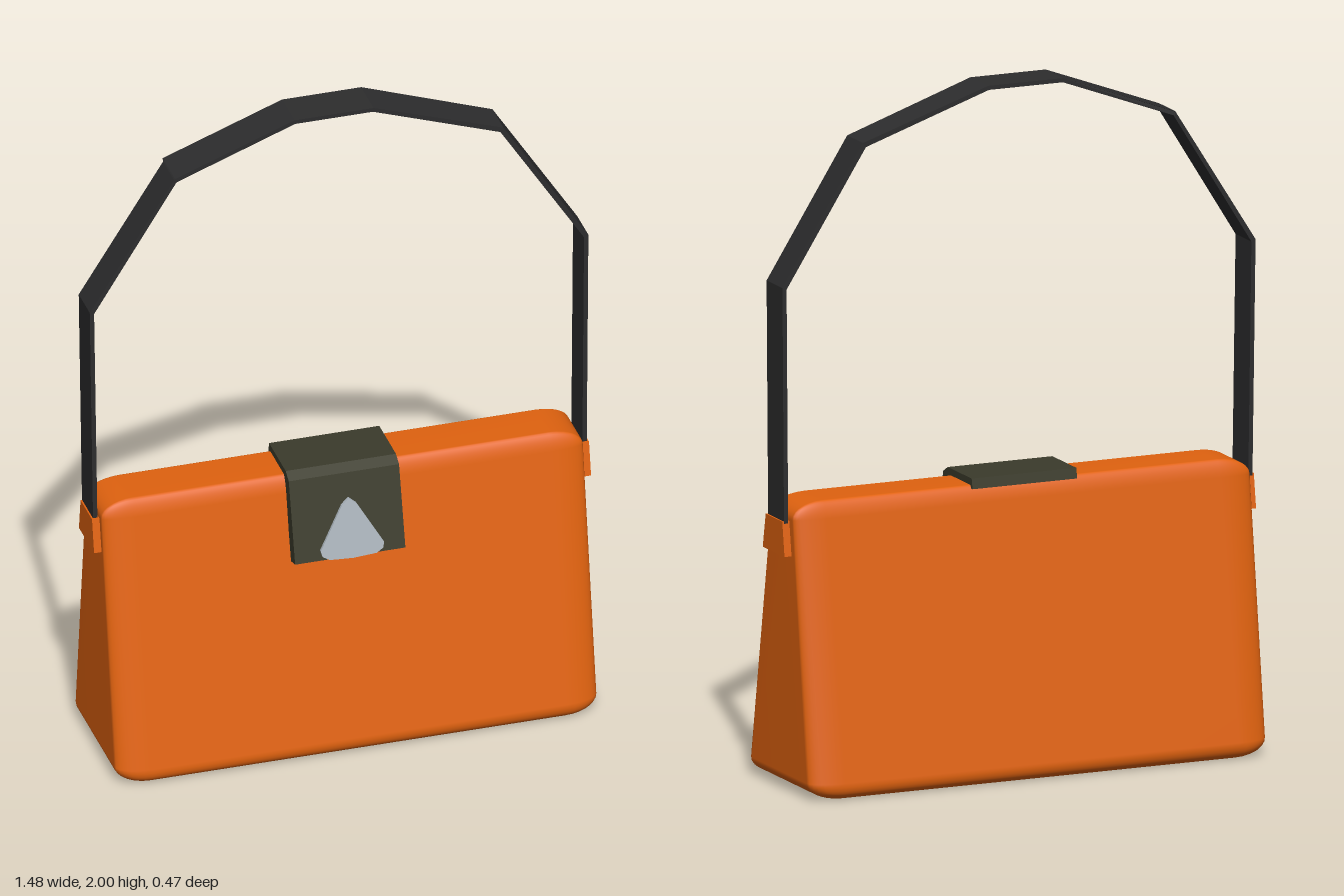
import * as THREE from 'three';
import { mergeVertices } from 'three/addons/utils/BufferGeometryUtils.js';
import { RoundedBoxGeometry } from 'three/addons/geometries/RoundedBoxGeometry.js';

const material = (name, color) => {
  const m = new THREE.MeshStandardMaterial({ color });
  m.name = name;
  return m;
};

const shapeOf = (points) => new THREE.Shape(points.map(([x, y]) => new THREE.Vector2(x, y)));

const extrude = (points, depth) =>
  new THREE.ExtrudeGeometry(shapeOf(points), { depth, bevelEnabled: false, curveSegments: 4 });

// Moves every vertex of a geometry by a rule
function reshape(geometry, rule) {
  const pos = geometry.attributes.position;
  const v = new THREE.Vector3();
  for (let i = 0; i < pos.count; i++) {
    rule(v.fromBufferAttribute(pos, i));
    pos.setXYZ(i, v.x, v.y, v.z);
  }
  geometry.computeVertexNormals();
  return geometry;
}

// Rounded box, narrowing in depth towards the top
function bodyGeometry() {
  const height = 0.845, depth = 0.48;
  let g = new RoundedBoxGeometry(0.715, height, depth, 4, 0.05);
  g.deleteAttribute('normal');
  g.deleteAttribute('uv');
  g = mergeVertices(g, 1e-4);
  return reshape(g, (v) => {
    v.x *= 2;
    v.y += height / 2;
    const t = v.y / height;
    const half = THREE.MathUtils.lerp(0.243, 0.08, t);
    const mid = THREE.MathUtils.lerp(0.003, -0.015, t);
    v.z = mid + (v.z / (depth / 2)) * half;
  });
}

// Angular strap loop; the top section is a little wider at the back
function strapGeometry() {
  const outline = [
    [-0.732, 0.77], [-0.742, 1.47], [-0.492, 1.865], [-0.489, 1.868], [-0.135, 2], [0.1, 2],
    [0.485, 1.868], [0.737, 1.47], [0.732, 0.77],
    [0.719, 0.77], [0.724, 1.464], [0.476, 1.855], [0.098, 1.988], [-0.133, 1.988],
    [-0.483, 1.857], [-0.486, 1.854], [-0.729, 1.464], [-0.719, 0.77],
  ];
  return reshape(extrude(outline, 1), (v) => {
    const wide = v.x > -0.4905 && v.x < 0.3 && v.y > 1.855;
    v.z = v.z > 0.5 ? 0.04 : wide ? -0.081 : -0.067;
  });
}

export function createModel() {
  const leather = material('orange leather', 0xe0620f);
  const black = material('black strap', 0x2d2d2e);
  const olive = material('dark olive', 0x3b3b2b);
  const silver = material('silver', 0xa9b2ba);

  const bag = new THREE.Group();
  bag.name = 'handbag';
  const add = (name, geometry, mat) => {
    const mesh = new THREE.Mesh(geometry, mat);
    mesh.name = name;
    bag.add(mesh);
    return mesh;
  };

  add('body', bodyGeometry(), leather);
  add('strap', strapGeometry(), black);

  // Trapezoid tabs that hold the strap ends
  for (const side of [-1, 1]) {
    const tab = extrude([[0.081, 0.69], [0.066, 0.79], [-0.046, 0.79], [-0.066, 0.69]], 0.026);
    tab.rotateY(Math.PI / 2);
    tab.translate(side > 0 ? 0.711 : -0.737, 0, 0);
    add(side > 0 ? 'leftTab' : 'rightTab', tab, leather);
  }

  // Clasp flap folded over the top, with its side profile drawn in (-z, y)
  const flap = extrude([
    [0.098, 0.835], [0.092, 0.865], [-0.07, 0.865], [-0.1, 0.848],
    [-0.162, 0.608], [-0.122, 0.597], [-0.06, 0.835],
  ], 0.327);
  flap.rotateY(Math.PI / 2);
  flap.translate(-0.17, 0, 0);
  add('claspFlap', flap, olive);

  // Triangular clasp plate lying on the sloping flap
  const plate = reshape(extrude([
    [0, 0.778], [-0.022, 0.76], [-0.094, 0.638], [-0.09, 0.622], [-0.07, 0.61], [0, 0.606],
    [0.07, 0.61], [0.09, 0.622], [0.094, 0.638], [0.022, 0.76],
  ].reverse(), 0.009), (v) => {
    v.z += 0.161 - (v.y - 0.608) * 0.258;
  });
  add('claspPlate', plate, silver);

  return bag;
}
